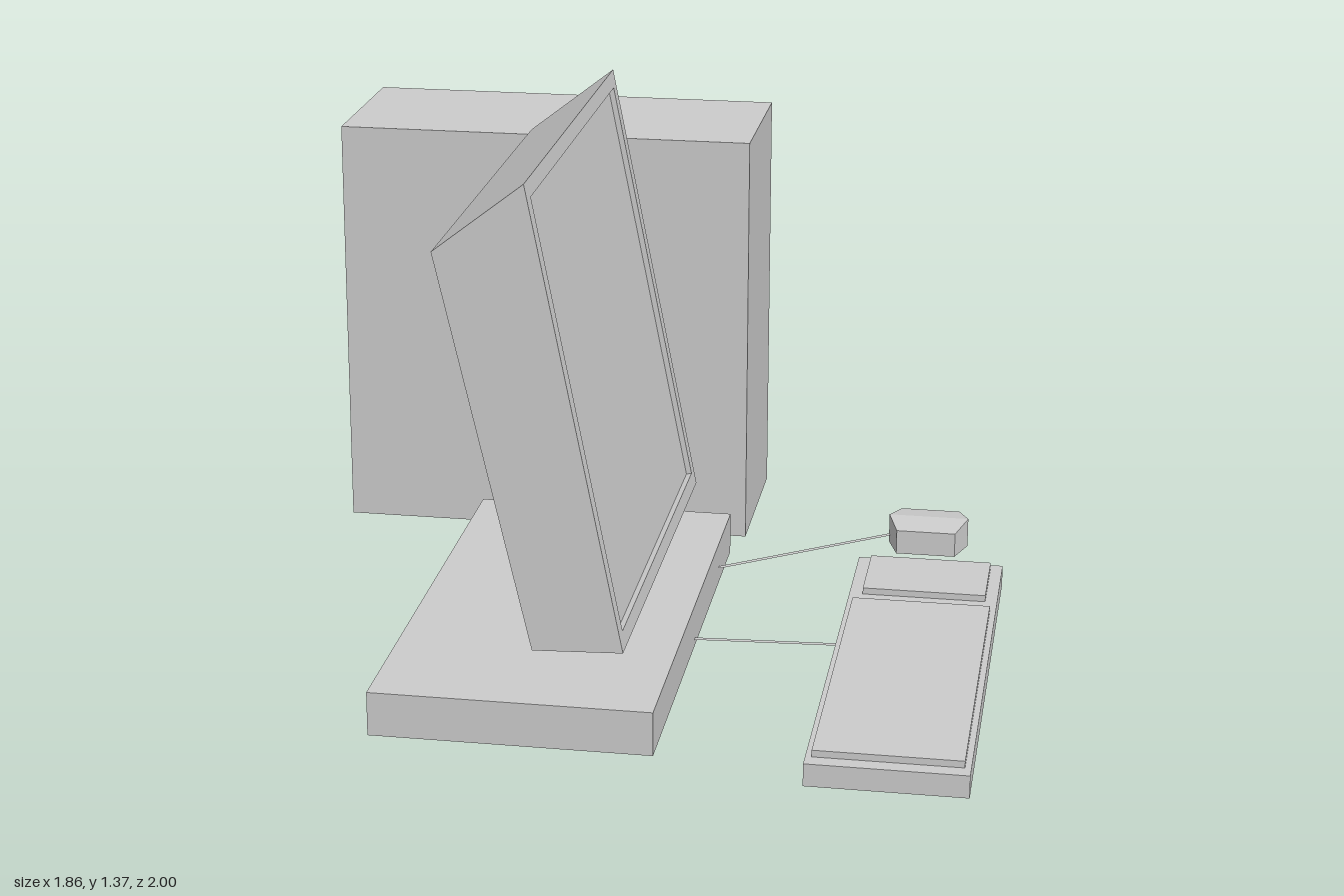
import * as THREE from 'three';
import { ConvexGeometry } from 'three/addons/geometries/ConvexGeometry.js';

const grey = new THREE.MeshStandardMaterial({ color: 0xcccccc, flatShading: true });
const thin = new THREE.MeshStandardMaterial({ color: 0xcccccc, flatShading: true, side: THREE.DoubleSide });

function part(name, geometry, material = grey) {
  const mesh = new THREE.Mesh(geometry, material);
  mesh.name = name;
  return mesh;
}

// Box given by its extents on each axis
function box(name, [x0, x1], [y0, y1], [z0, z1]) {
  const mesh = part(name, new THREE.BoxGeometry(x1 - x0, y1 - y0, z1 - z0));
  mesh.position.set((x0 + x1) / 2, (y0 + y1) / 2, (z0 + z1) / 2);
  return mesh;
}

// Side profile in x/y, swept from z0 to z1
function sweep(name, points, z0, z1) {
  const shape = new THREE.Shape(points.map(([x, y]) => new THREE.Vector2(x, y)));
  const geometry = new THREE.ExtrudeGeometry(shape, { depth: z1 - z0, bevelEnabled: false });
  return part(name, geometry.translate(0, 0, z0));
}

// Flat ribbon lying between two points
function cable(name, from, to, width) {
  const a = new THREE.Vector3(...from), b = new THREE.Vector3(...to);
  const side = new THREE.Vector3(b.z - a.z, 0, a.x - b.x).setLength(width / 2);
  const corners = [a.clone().add(side), b.clone().add(side), b.clone().sub(side), a.clone().sub(side)];
  const geometry = new THREE.BufferGeometry().setFromPoints(corners);
  geometry.setIndex([0, 1, 2, 0, 2, 3]);
  geometry.computeVertexNormals();
  return part(name, geometry, thin);
}

function createMonitor() {
  const monitor = new THREE.Group();
  monitor.name = 'monitor';
  const backLow = [-0.13, 0.224], frontLow = [0.09, 0.232];
  const frontTop = [-0.136, 1.37], backTop = [-0.355, 1.2];
  const z = [-0.32, -0.283, 0.8, 0.84];

  // Point on the leaning front face, at a given distance up it and depth behind it
  const low = new THREE.Vector2(...frontLow);
  const up = new THREE.Vector2(...frontTop).sub(low);
  const height = up.length();
  up.normalize();
  const onFace = (d, depth) => [low.x + up.x * d - up.y * depth, low.y + up.y * d + up.x * depth];

  const border = 0.041, recess = 0.014;
  const full = [backLow, frontLow, frontTop, backTop];
  const notched = [
    backLow, frontLow,
    onFace(border, 0), onFace(border, recess),
    onFace(height - border, recess), onFace(height - border, 0),
    frontTop, backTop,
  ];
  monitor.add(
    sweep('bezelSideBack', full, z[0], z[1]),
    sweep('screenBody', notched, z[1], z[2]),
    sweep('bezelSideFront', full, z[2], z[3]),
  );
  return monitor;
}

function createKeyboard() {
  const keyboard = new THREE.Group();
  keyboard.name = 'keyboard';
  keyboard.add(
    box('keyboardBase', [0.54, 0.926], [0, 0.057], [-0.29, 1]),
    box('mainKeys', [0.555, 0.911], [0.057, 0.074], [0.033, 0.96]),
    box('numberKeys', [0.575, 0.895], [0.057, 0.074], [-0.265, -0.035]),
  );
  return keyboard;
}

function createMouse() {
  // Six-sided plan with a raised ridge across the middle
  const plan = [
    [0.597, -0.562, 0.08], [0.625, -0.648, 0.067], [0.785, -0.648, 0.067],
    [0.815, -0.562, 0.08], [0.785, -0.475, 0.067], [0.625, -0.475, 0.067],
  ];
  const points = plan.flatMap(([x, z, top]) => [new THREE.Vector3(x, 0, z), new THREE.Vector3(x, top, z)]);
  return part('mouse', new ConvexGeometry(points));
}

export function createModel() {
  const model = new THREE.Group();
  model.name = 'desktopComputer';
  model.add(
    box('tower', [-0.93, 0.198], [0, 1.132], [-1, -0.53]),
    box('base', [-0.523, 0.172], [0, 0.112], [-0.41, 0.9]),
    sweep('stand', [[-0.242, 0.112], [-0.147, 0.112], [-0.147, 0.3], [-0.208, 0.565], [-0.242, 0.515]], 0.107, 0.4),
    createMonitor(),
    createKeyboard(),
    createMouse(),
    cable('keyboardCable', [0.172, 0.02, 0.243], [0.54, 0.03, 0.243], 0.015),
    cable('mouseCable', [0.172, 0.045, -0.183], [0.6, 0.022, -0.558], 0.015),
  );
  return model;
}
